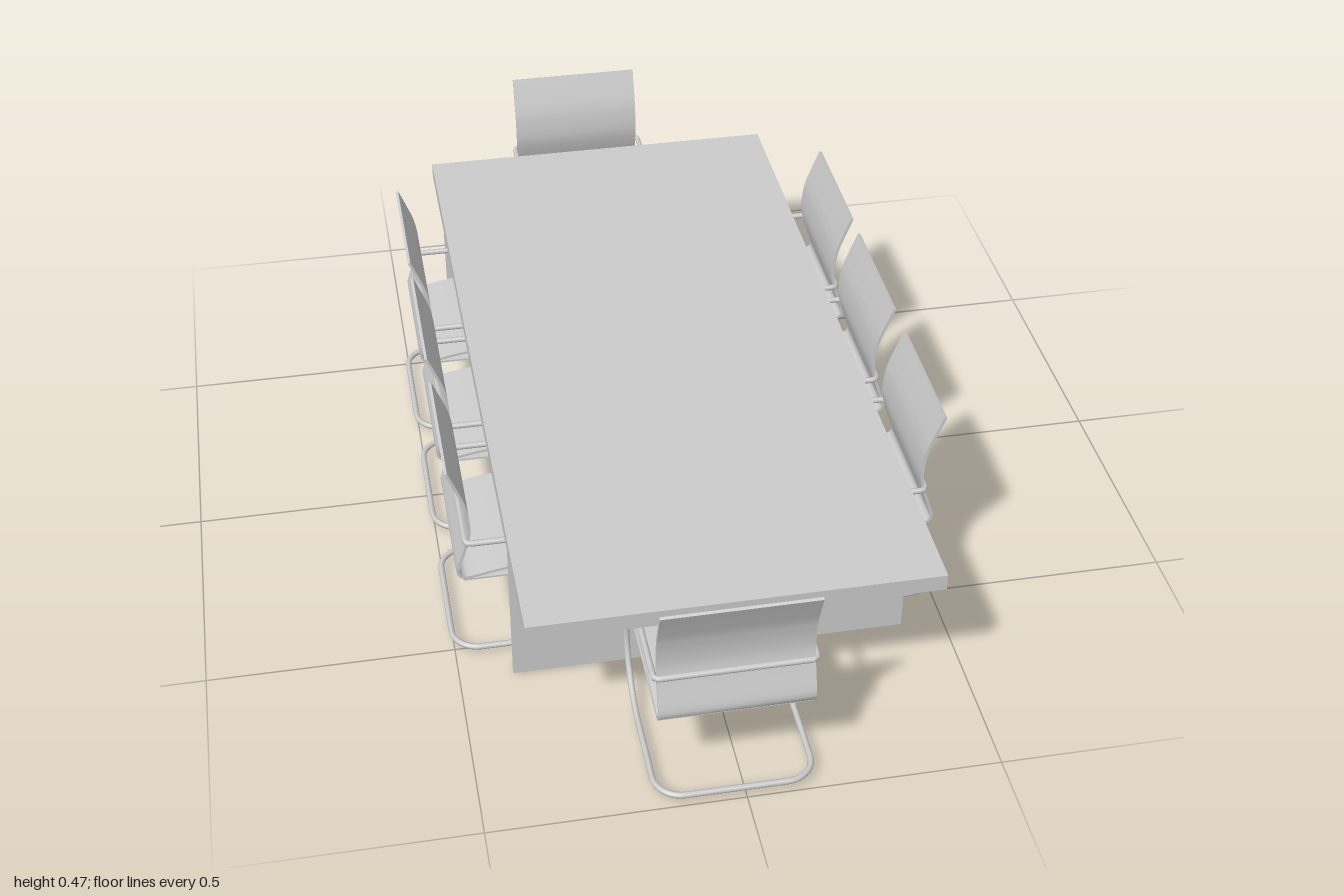
import * as THREE from 'three';
import { toCreasedNormals } from 'three/addons/utils/BufferGeometryUtils.js';

const material = new THREE.MeshStandardMaterial({ color: 0xcccccc });

function part(geometry, name, x = 0, y = 0, z = 0) {
  const mesh = new THREE.Mesh(geometry, material);
  mesh.name = name;
  mesh.position.set(x, y, z);
  return mesh;
}

// Closed loop through corners [x, y, z, radius], each corner rounded
function roundedLoop(corners) {
  const path = new THREE.CurvePath();
  const vec = (c) => new THREE.Vector3(c[0], c[1], c[2]);
  const n = corners.length;
  const bends = corners.map((c, i) => {
    const p = vec(c);
    const toPrev = vec(corners[(i + n - 1) % n]).sub(p).normalize();
    const toNext = vec(corners[(i + 1) % n]).sub(p).normalize();
    const along = (dir, d) => p.clone().addScaledVector(dir, d);
    const r = c[3];
    return new THREE.CubicBezierCurve3(
      along(toPrev, r), along(toPrev, r * 0.45), along(toNext, r * 0.45), along(toNext, r));
  });
  bends.forEach((bend, i) => {
    path.add(bend);
    path.add(new THREE.LineCurve3(bend.v3, bends[(i + 1) % n].v0));
  });
  return path;
}

// Bent tube: arms with rear bar, front curves and floor loop
function frameGeometry() {
  const w = 0.154;
  const side = [
    [w, 0.295, -0.043, 0.01],
    [w, 0.295, -0.341, 0.125],
    [w, 0.02, -0.341, 0.125],
    [w, 0.02, -0.007, 0.055],
  ];
  const mirrored = side.map(([x, y, z, r]) => [-x, y, z, r]).reverse();
  return new THREE.TubeGeometry(roundedLoop([...side, ...mirrored]), 260, 0.0062, 8, true);
}

// Seat and back in one sheet: a thickened curve extruded sideways
function shellGeometry() {
  const width = 0.298, half = 0.003;
  const curve = new THREE.SplineCurve([
    [-0.014, 0.47], [-0.03, 0.43], [-0.046, 0.383], [-0.052, 0.328], [-0.045, 0.287],
    [-0.028, 0.235], [-0.025, 0.218], [-0.031, 0.207], [-0.048, 0.204],
    [-0.115, 0.216], [-0.2, 0.223], [-0.285, 0.22], [-0.325, 0.21],
  ].map(([z, y]) => new THREE.Vector2(-z, y)));
  const outer = [], inner = [];
  for (let i = 0; i <= 60; i++) {
    const p = curve.getPointAt(i / 60), t = curve.getTangentAt(i / 60);
    outer.push(new THREE.Vector2(p.x - t.y * half, p.y + t.x * half));
    inner.unshift(new THREE.Vector2(p.x + t.y * half, p.y - t.x * half));
  }
  const geometry = new THREE.ExtrudeGeometry(new THREE.Shape([...outer, ...inner]),
    { depth: width, bevelEnabled: false });
  geometry.translate(0, 0, -width / 2);
  geometry.rotateY(Math.PI / 2); // profile x becomes -z
  return toCreasedNormals(geometry, 0.7);
}

export function createModel() {
  const model = new THREE.Group();
  model.name = 'conferenceTable';

  // Table: slab top on two full-width panels
  const table = new THREE.Group();
  table.name = 'table';
  table.add(part(new THREE.BoxGeometry(0.804, 0.035, 1.66), 'tableTop', 0.011, 0.3325, 0.007));
  for (const [name, z] of [['frontPanelLeg', 0.582], ['rearPanelLeg', -0.567]]) {
    table.add(part(new THREE.BoxGeometry(0.804, 0.315, 0.014), name, 0.011, 0.1575, z));
  }
  model.add(table);

  // Chairs: built facing -z with the rear of the floor loop at z = 0
  const frame = frameGeometry();
  const shell = shellGeometry();
  const plate = new THREE.BoxGeometry(0.298, 0.004, 0.29);
  function addChair(name, x, z, turn) {
    const chair = new THREE.Group();
    chair.name = name;
    chair.add(part(frame, 'chairFrame'));
    chair.add(part(shell, 'seatAndBack'));
    chair.add(part(plate, 'seatPlate', 0, 0.199, -0.18));
    chair.position.set(x, 0, z);
    chair.rotation.y = turn;
    model.add(chair);
  }
  addChair('frontChair', -0.018, 0.999, 0);
  addChair('rearChair', -0.02, -0.999, Math.PI);
  [0.367, -0.012, -0.37].forEach((z, i) => {
    addChair('leftChair' + (i + 1), 0.507, z, Math.PI / 2);
    addChair('rightChair' + (i + 1), -0.509, z, -Math.PI / 2);
  });

  return model;
}
